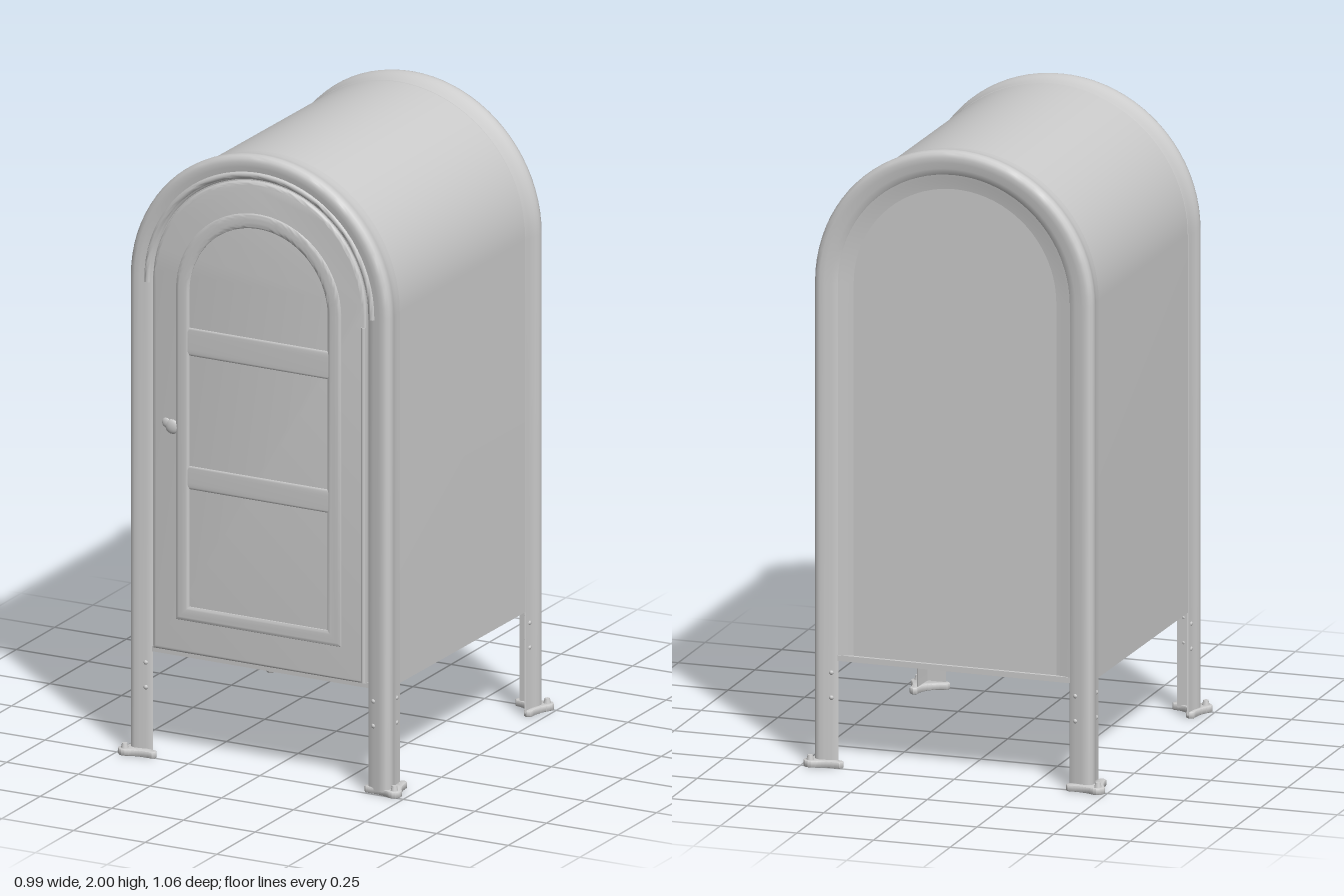
import * as THREE from 'three';
import { toCreasedNormals } from 'three/addons/utils/BufferGeometryUtils.js';

const CY = 1.544; // height of the arch centre
const metal = new THREE.MeshStandardMaterial({ color: 0xcccccc, side: THREE.DoubleSide });

function add(parent, name, geometry, x = 0, y = 0, z = 0) {
  const mesh = new THREE.Mesh(geometry, metal);
  mesh.name = name;
  mesh.position.set(x, y, z);
  parent.add(mesh);
  return mesh;
}

function addGroup(parent, name) {
  const group = new THREE.Group();
  group.name = name;
  parent.add(group);
  return group;
}

// Upright outline with a round top
function arch(r, bottom, cy = CY, Type = THREE.Shape) {
  const s = new Type();
  s.moveTo(-r, bottom);
  s.lineTo(r, bottom);
  s.lineTo(r, cy);
  s.absarc(0, cy, r, 0, Math.PI, false);
  s.lineTo(-r, bottom);
  return s;
}

// Extrusion whose edges slope inwards over `bevel`, rising by `rise`
function extrude(shape, depth, bevel = 0, rise = bevel) {
  const g = new THREE.ExtrudeGeometry(shape, {
    depth, curveSegments: 32, bevelEnabled: bevel > 0,
    bevelSize: bevel, bevelThickness: rise, bevelOffset: -bevel, bevelSegments: 4,
  });
  return toCreasedNormals(g, 0.7);
}

// Sweep a closed [radius, z] section up one side, over the arch and down the other
function archSweep(section, bottom) {
  const path = [[Math.PI, bottom]];
  for (let i = 0; i <= 40; i++) path.push([Math.PI * (1 - i / 40), CY]);
  path.push([0, bottom]);
  const n = section.length, pos = [], index = [];
  path.forEach(([a, y], j) => {
    section.forEach(([r, z], i) => {
      pos.push(Math.cos(a) * r, y + Math.sin(a) * r, z);
      if (j === path.length - 1) return;
      const p = j * n + i, q = j * n + (i + 1) % n;
      index.push(p, p + n, q, q, p + n, q + n);
    });
  });
  const g = new THREE.BufferGeometry();
  g.setAttribute('position', new THREE.Float32BufferAttribute(pos, 3));
  g.setIndex(index);
  return toCreasedNormals(g, 0.8);
}

// Angle-iron section: rounded bead at the corner, flanges fading into the sheet
const angleIron = [
  [0.378, 0.486], [0.382, 0.49], [0.4, 0.494], [0.42, 0.498], [0.436, 0.5], [0.447, 0.497],
  [0.454, 0.49], [0.457, 0.479], [0.456, 0.468], [0.452, 0.456], [0.448, 0.442], [0.446, 0.425],
  [0.4445, 0.406], [0.441, 0.404], [0.438, 0.484],
];

// Soft slope from the back rim down to the sheet
const rimSlope = [[0.32, 0.476], [0.35, 0.481], [0.37, 0.486], [0.385, 0.489], [0.385, 0.476]];

function foot() {
  const s = new THREE.Shape();
  s.moveTo(0.37, 0.485);
  s.quadraticCurveTo(0.355, 0.5, 0.372, 0.512);
  s.quadraticCurveTo(0.425, 0.508, 0.452, 0.523);
  s.quadraticCurveTo(0.475, 0.533, 0.486, 0.516);
  s.quadraticCurveTo(0.496, 0.505, 0.486, 0.488);
  s.quadraticCurveTo(0.466, 0.46, 0.464, 0.412);
  s.quadraticCurveTo(0.452, 0.395, 0.438, 0.41);
  s.quadraticCurveTo(0.435, 0.475, 0.37, 0.485);
  const g = extrude(s, 0.013, 0.004);
  g.rotateX(Math.PI / 2); // shape y becomes +z
  return g;
}

function buildDoor(parent) {
  const door = addGroup(parent, 'door');
  add(door, 'doorPlate', extrude(arch(0.374, 0.352), 0.008, 0.012, 0.008), 0, 0, 0.479);

  // Softly embossed border and cross ribs
  const border = arch(0.29, 0.46, 1.525);
  border.holes.push(arch(0.243, 0.507, 1.525, THREE.Path));
  add(door, 'panelBorder', extrude(border, 0.002, 0.018, 0.004), 0, 0, 0.495);
  for (const [y, h] of [[1.365, 0.09], [0.925, 0.075]]) {
    const rib = new THREE.Shape();
    rib.moveTo(-0.265, y - h / 2);
    rib.lineTo(0.265, y - h / 2);
    rib.lineTo(0.265, y + h / 2);
    rib.lineTo(-0.265, y + h / 2);
    add(door, 'panelRib', extrude(rib, 0.001, 0.022, 0.004), 0, 0, 0.495);
  }

  // Hinge along the model's left edge, lock on the other side
  add(door, 'hinge', new THREE.CylinderGeometry(0.008, 0.008, 1.15, 10), 0.366, 0.93, 0.492);
  add(door, 'lock', new THREE.SphereGeometry(0.024, 16, 10), -0.305, 1.08, 0.494).scale.z = 0.4;
  add(door, 'lockTab', new THREE.SphereGeometry(0.016, 12, 8), -0.325, 1.09, 0.494).scale.z = 0.4;

  // Rain lip over the door
  const lip = [];
  for (let i = 0; i < 8; i++) {
    const a = i / 8 * Math.PI * 2;
    lip.push([0.394 + 0.01 * Math.cos(a), 0.492 + 0.006 * Math.sin(a)]);
  }
  add(door, 'rainLip', archSweep(lip.reverse(), CY - 0.01));
}

export function createModel() {
  const model = new THREE.Group();
  model.name = 'mailbox';

  // The box sits slightly twisted on its feet
  const box = addGroup(model, 'box');
  box.rotation.y = -0.013;
  add(box, 'body', extrude(arch(0.443, 0.34), 0.956), 0, 0, -0.474);
  buildDoor(box);

  // Front and back frames run down into the legs
  const rivet = new THREE.SphereGeometry(0.008, 10, 6);
  for (const side of ['front', 'back']) {
    const frame = addGroup(box, side + 'Frame');
    frame.position.z = -0.003;
    if (side === 'back') {
      frame.rotation.y = Math.PI;
      frame.position.z = 0.004;
      add(frame, 'rimSlope', archSweep(rimSlope, 0.345));
    }
    add(frame, 'archAndLegs', archSweep(angleIron, 0.012));
    add(frame, 'bottomRail', new THREE.BoxGeometry(0.78, 0.018, 0.016), 0, 0.347, 0.481);
    for (const sx of [1, -1]) {
      for (const y of [0.22, 0.3]) {
        add(frame, 'legRivet', rivet, sx * 0.4, y, 0.491);
        add(frame, 'legRivet', rivet, sx * 0.443, y, 0.428);
      }
    }
  }

  // Bolted feet, each pointing out from its corner: [name, bolt x, bolt z]
  const footGeometry = foot();
  const feet = [
    ['frontLeftFoot', 0.464, 0.49], ['frontRightFoot', -0.469, 0.505],
    ['backLeftFoot', 0.47, -0.498], ['backRightFoot', -0.473, -0.511],
  ];
  for (const [name, x, z] of feet) {
    const corner = addGroup(model, name);
    const sx = Math.sign(x), sz = Math.sign(z);
    corner.scale.set(sx, 1, sz);
    corner.position.set(x - sx * 0.469, 0, z - sz * 0.505);
    add(corner, 'footPlate', footGeometry, 0, 0.017, 0);
    add(corner, 'footBolt', new THREE.CylinderGeometry(0.008, 0.012, 0.016, 12), 0.469, 0.028, 0.505);
  }
  return model;
}
